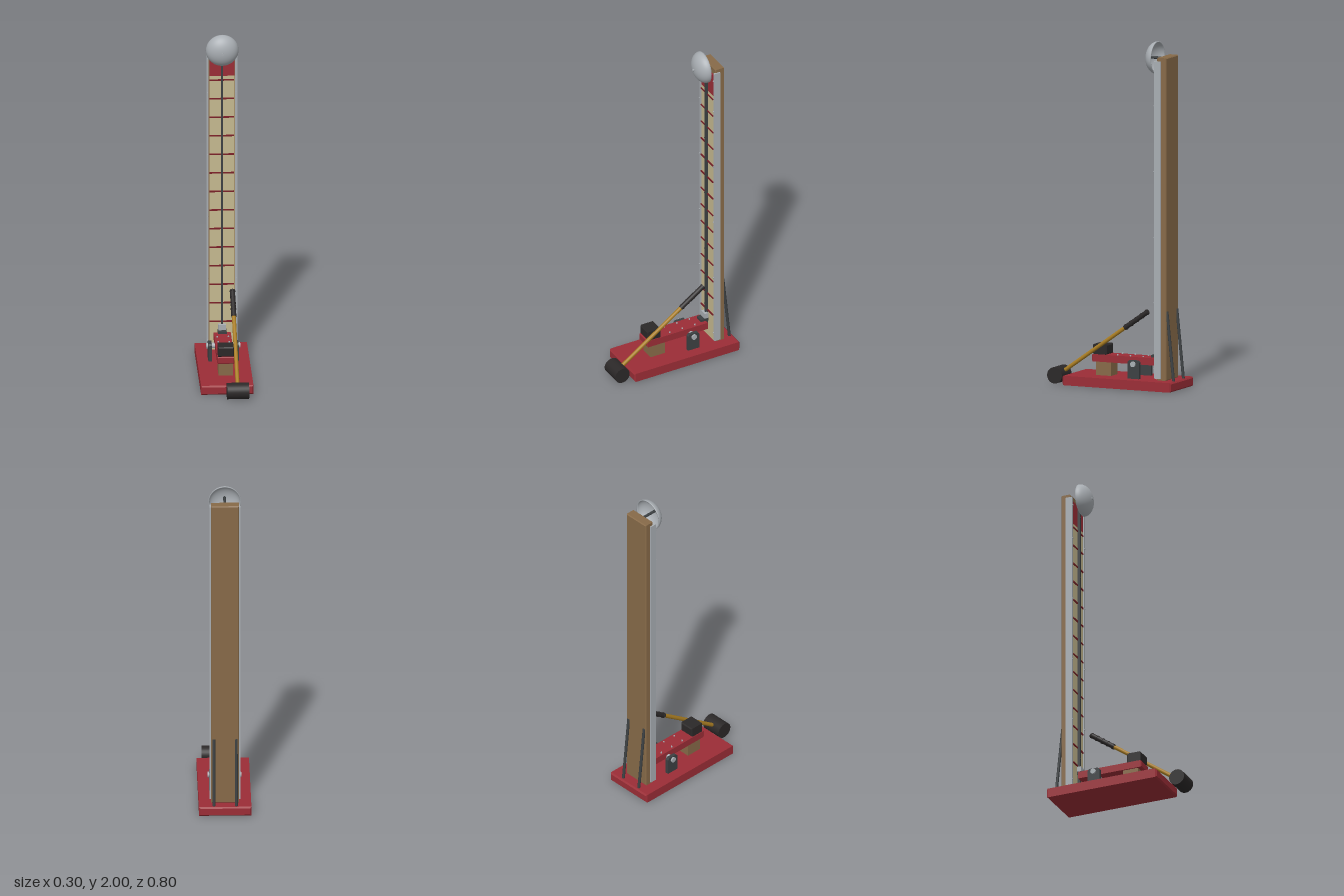
import * as THREE from 'three';

const mat = (color, extra = {}) => new THREE.MeshStandardMaterial({ color, ...extra });
const RED = mat(0x9b2d36), DARKRED = mat(0x7a1f26), WOOD = mat(0x876a48), CREAM = mat(0xc6ba90);
const STEEL = mat(0xa9aeb3), IRON = mat(0x3c4042), BLACK = mat(0x2b2828), BRASS = mat(0xa87c22);
const BELL = mat(0xa9aeb3, { side: THREE.DoubleSide });

export function createModel() {
  const root = new THREE.Group();

  const add = (name, geometry, material, x = 0, y = 0, z = 0) => {
    const mesh = new THREE.Mesh(geometry, material);
    mesh.name = name;
    mesh.position.set(x, y, z);
    root.add(mesh);
    return mesh;
  };

  // Box given by its limits on each axis
  const box = (name, m, x0, x1, y0, y1, z0, z1) =>
    add(name, new THREE.BoxGeometry(x1 - x0, y1 - y0, z1 - z0), m, (x0 + x1) / 2, (y0 + y1) / 2, (z0 + z1) / 2);

  // Box with chamfered edges
  const chamferBox = (name, m, x0, x1, y0, y1, z0, z1, b) => {
    const w = (x1 - x0) / 2 - b, h = (y1 - y0) / 2 - b, d = z1 - z0 - 2 * b;
    const s = new THREE.Shape([[-w, -h], [w, -h], [w, h], [-w, h]].map(p => new THREE.Vector2(...p)));
    const g = new THREE.ExtrudeGeometry(s, { depth: d, bevelEnabled: true, bevelSize: b, bevelThickness: b, bevelSegments: 1 });
    g.translate(0, 0, -d / 2);
    return add(name, g, m, (x0 + x1) / 2, (y0 + y1) / 2, (z0 + z1) / 2);
  };

  // Cylinder between two points
  const rod = (name, m, a, b, r, sides = 20) => {
    const p = new THREE.Vector3(...a), q = new THREE.Vector3(...b), d = q.clone().sub(p);
    const mesh = add(name, new THREE.CylinderGeometry(r, r, d.length(), sides), m);
    mesh.position.copy(p).add(q).multiplyScalar(0.5);
    mesh.quaternion.setFromUnitVectors(new THREE.Vector3(0, 1, 0), d.normalize());
    return mesh;
  };

  // Base and tower
  chamferBox('base', RED, -0.15, 0.15, 0, 0.055, -0.4, 0.29, 0.008);
  chamferBox('towerBoard', WOOD, -0.08, 0.08, 0.055, 1.92, -0.338, -0.279, 0.005);
  box('scalePanel', CREAM, -0.071, 0.071, 0.06, 1.74, -0.285, -0.27);
  box('scaleTopPanel', RED, -0.071, 0.071, 1.74, 1.88, -0.285, -0.27);
  for (let i = 0; i < 14; i++) {
    const y = 0.235 + i * 0.1139;
    box('scaleMark', DARKRED, -0.07, 0.07, y - 0.004, y + 0.004, -0.272, -0.265);
  }

  // Guide track with its clips
  box('guideTrack', IRON, -0.006, 0.006, 0.12, 1.85, -0.27, -0.254);
  for (const y of [0.28, 0.66, 1.04, 1.42, 1.8])
    rod('trackScrew', IRON, [0, y, -0.26], [0, y, -0.25], 0.004, 10);

  // Side rails, rear braces, pivot posts
  for (const s of [-1, 1]) {
    box('sideRail', STEEL, s * 0.082 - 0.006, s * 0.082 + 0.006, 0.065, 1.9, -0.306, -0.266);
    for (const y of [0.12, 0.5, 0.88, 1.26, 1.64, 1.85])
      rod('railBolt', STEEL, [s * 0.082, y, -0.268], [s * 0.082, y, -0.261], 0.004, 10);

    rod('rearBrace', IRON, [s * 0.064, 0.455, -0.336], [s * 0.064, 0.052, -0.378], 0.0085, 16);

    const post = new THREE.Shape();
    post.moveTo(-0.037, 0.05).lineTo(0.037, 0.05).lineTo(0.037, 0.15)
      .lineTo(0.027, 0.161).lineTo(-0.027, 0.161).lineTo(-0.037, 0.15).closePath();
    const g = new THREE.ExtrudeGeometry(post, { depth: 0.02, bevelEnabled: false });
    g.rotateY(Math.PI / 2).translate(-0.01, 0, 0);
    add('pivotPost', g, IRON, s * 0.077, 0, -0.132);
  }
  rod('pivotPin', STEEL, [-0.097, 0.14, -0.132], [0.097, 0.14, -0.132], 0.016, 24);

  // Lever, strike pad and support block
  chamferBox('lever', RED, -0.049, 0.049, 0.134, 0.176, -0.25, 0.15, 0.005);
  chamferBox('strikePad', BLACK, -0.045, 0.045, 0.176, 0.234, 0.058, 0.146, 0.006);
  box('supportBlock', WOOD, -0.041, 0.041, 0.055, 0.135, 0.032, 0.126);
  for (const x of [-0.032, 0.032]) for (const z of [-0.17, -0.088, -0.006])
    add('leverScrew', new THREE.CylinderGeometry(0.0045, 0.0045, 0.008, 12), STEEL, x, 0.178, z);

  // Sliding puck resting on the lever tip
  box('puckPlate', IRON, -0.025, 0.025, 0.174, 0.19, -0.263, -0.215);
  box('puck', STEEL, -0.022, 0.022, 0.185, 0.222, -0.264, -0.24);

  // Bell: thin dome facing forward on a short stem
  const profile = [];
  for (let i = 0; i <= 16; i++) {
    const a = i / 16 * Math.PI / 2;
    profile.push(new THREE.Vector2(0.094 * Math.sin(a), 0.065 * Math.cos(a)));
  }
  for (let i = 16; i >= 0; i--) {
    const a = i / 16 * Math.PI / 2;
    profile.push(new THREE.Vector2(0.089 * Math.sin(a), 0.06 * Math.cos(a)));
  }
  add('bell', new THREE.LatheGeometry(profile, 40), BELL, 0, 1.908, -0.246).rotation.x = Math.PI / 2;
  rod('bellStem', IRON, [0, 1.908, -0.285], [0, 1.908, -0.185], 0.008);
  rod('bellNut', STEEL, [0, 1.908, -0.185], [0, 1.908, -0.173], 0.008, 6);

  // Mallet leaning over the lever
  const hx = 0.057;
  rod('malletHead', BLACK, [-0.006, 0.048, 0.353], [0.12, 0.048, 0.353], 0.047, 32);
  rod('malletHandle', BRASS, [hx, 0.048, 0.353], [hx, 0.345, -0.068], 0.0115);
  rod('malletGrip', BLACK, [hx, 0.342, -0.064], [hx, 0.446, -0.212], 0.0145);
  for (let i = 0; i < 5; i++) {
    const t = i / 4, y = 0.346 + t * 0.094, z = -0.07 - t * 0.134;
    rod('gripRing', BLACK, [hx, y, z], [hx, y + 0.0035, z - 0.005], 0.0165);
  }
  return root;
}
